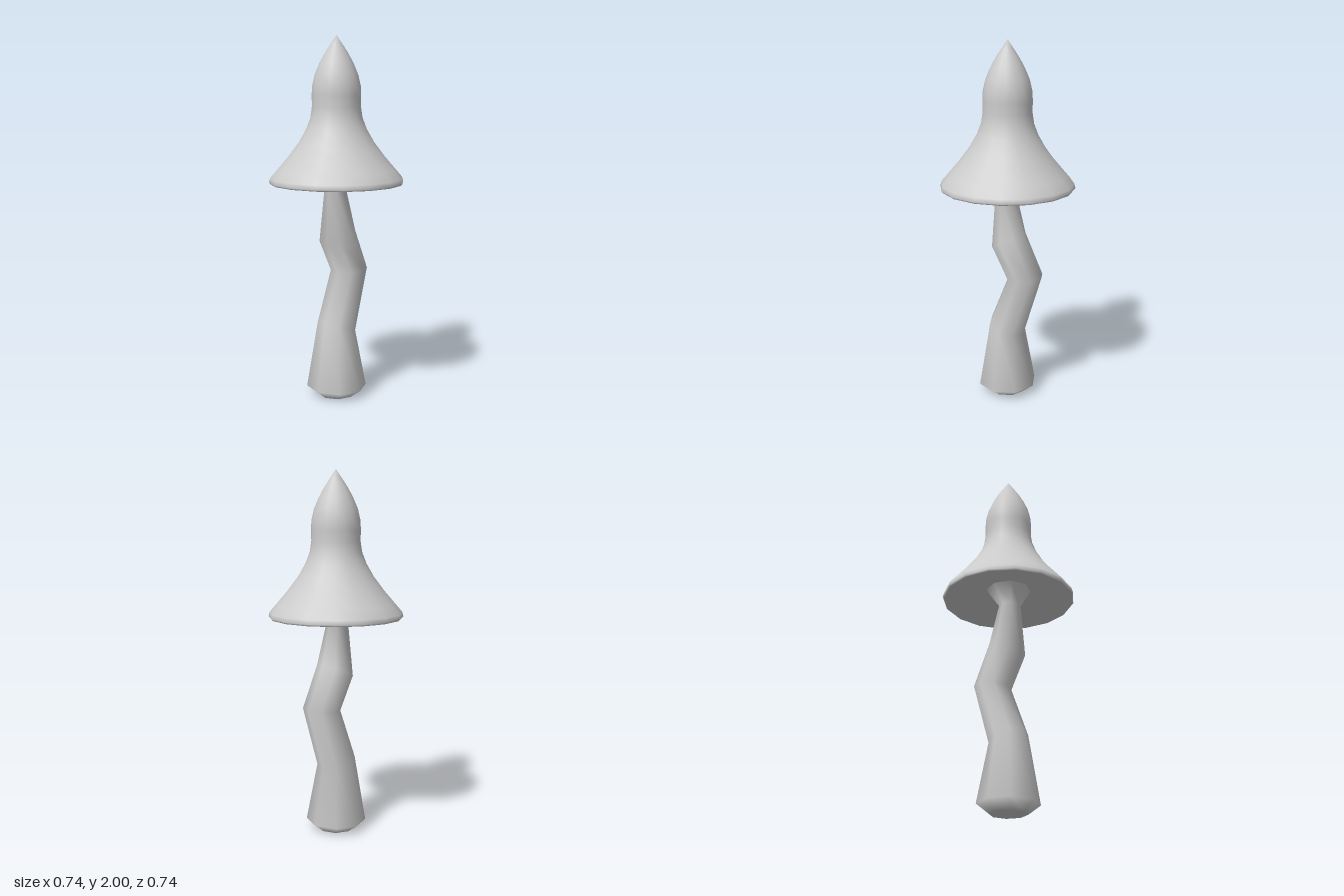
import * as THREE from 'three';
import { mergeVertices } from 'three/addons/utils/BufferGeometryUtils.js';

const material = new THREE.MeshStandardMaterial({ color: 0xcccccc, side: THREE.DoubleSide });

// Surface through elliptical rings: [centreX, centreY, radiusX, radiusZ, tilt in y at the +x edge]
function ringSurface(rings, sides) {
  const geometry = new THREE.LatheGeometry(rings.map((r, i) => new THREE.Vector2(1, i)), sides);
  const p = geometry.attributes.position;
  for (let i = 0; i < p.count; i++) {
    const [cx, cy, rx, rz, tilt] = rings[Math.round(p.getY(i))];
    const x = p.getX(i), z = p.getZ(i);
    p.setXYZ(i, cx + rx * x, cy + tilt * x, rz * z);
  }
  geometry.deleteAttribute('uv');
  geometry.deleteAttribute('normal');
  const merged = mergeVertices(geometry, 1e-4);
  merged.computeVertexNormals();
  return merged;
}

export function createModel() {
  const group = new THREE.Group();
  const add = (name, geometry) => {
    const mesh = new THREE.Mesh(geometry, material);
    mesh.name = name;
    group.add(mesh);
  };

  // Crooked octagonal stem, flaring where it meets the cap
  add('stem', ringSurface([
    [0, 0, 0, 0, 0],
    [0, 0, 0.1, 0.1, 0],
    [0, 0.05, 0.163, 0.17, 0],
    [0, 0.395, 0.1, 0.11, -0.035],
    [0.11, 0.707, 0.1, 0.105, 0.008],
    [0.008, 0.91, 0.093, 0.105, 0.04],
    [-0.01, 1.17, 0.06, 0.06, 0],
    [0, 1.27, 0.125, 0.125, 0],
  ], 8));

  // Bell-shaped cap: hollow underside, rim, waist and pointed tip
  const profile = [
    [0, 1.275], [0.12, 1.27], [0.34, 1.203], [0.362, 1.203], [0.369, 1.212], [0.363, 1.235],
    [0.325, 1.28], [0.265, 1.35], [0.205, 1.43], [0.165, 1.5], [0.142, 1.56],
    [0.133, 1.62], [0.134, 1.68], [0.132, 1.73], [0.118, 1.79], [0.093, 1.85],
    [0.063, 1.905], [0.03, 1.955], [0, 2],
  ];
  add('cap', ringSurface(profile.map(([r, y]) => [0, y, r, r, 0]), 16));

  return group;
}
